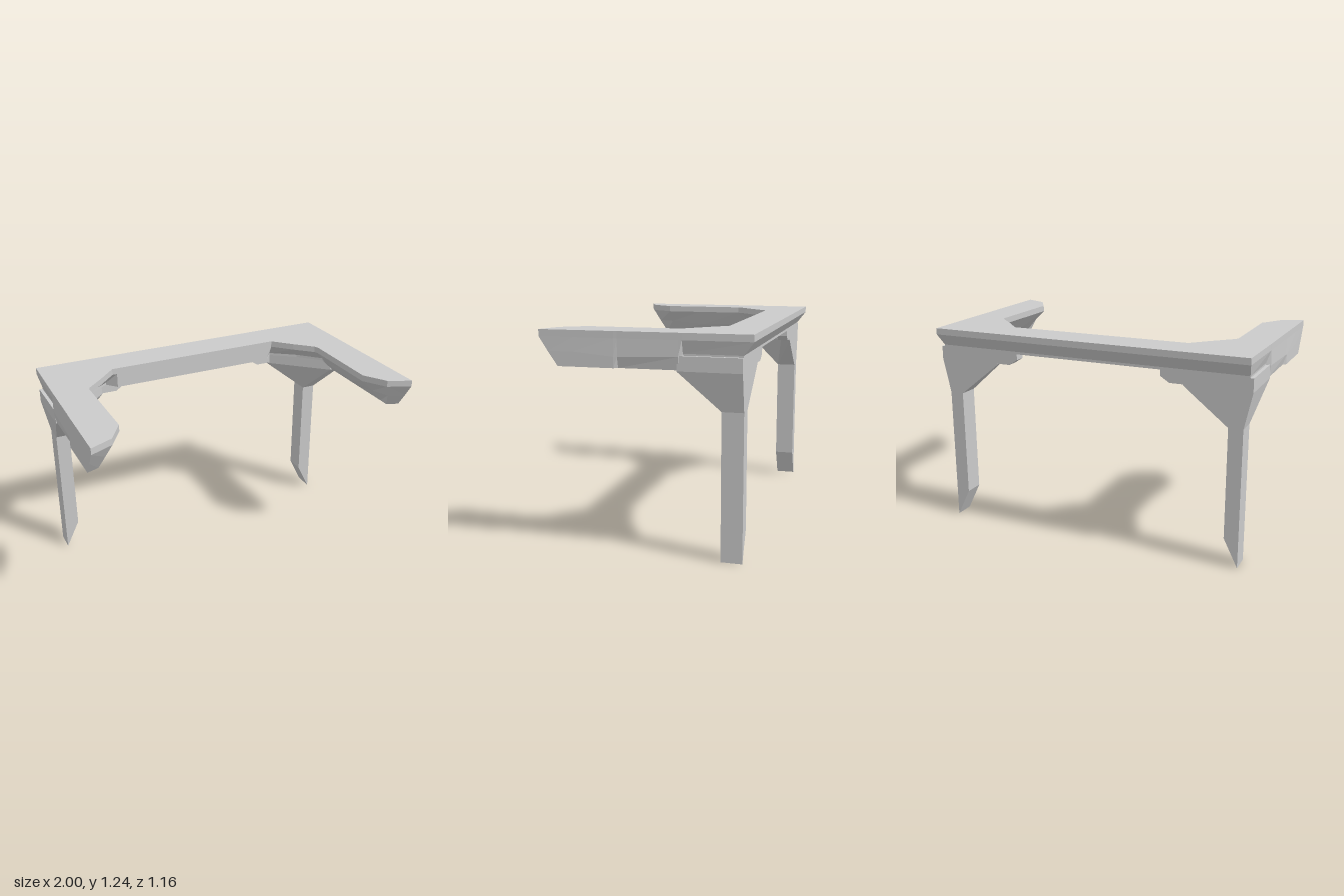
import * as THREE from 'three';
import { ConvexGeometry } from 'three/addons/geometries/ConvexGeometry.js';

const TOP = 1.235, RIM = 1.197;
const material = new THREE.MeshStandardMaterial({ color: 0xcccccc, flatShading: true });

function mesh(name, geometry) {
  const m = new THREE.Mesh(geometry, material);
  m.name = name;
  return m;
}

// Convex solid from [x, y, z] corners, mirrored by the sign s
function hull(name, s, corners) {
  return mesh(name, new ConvexGeometry(corners.map(([x, y, z]) => new THREE.Vector3(s * x, y, z))));
}

// Corners of a plan outline [x, z] at one height
const at = (y, plan) => plan.map(([x, z]) => [x, y, z]);

// Cross-section of the frame: rim on both sides, undercut skirt, bottom edge
function section(outer, skirtOut, bottomOut, bottomIn, skirtIn, inner, skirtY, bottomY) {
  const p = ([x, z], y) => [x, y, z];
  return [
    p(outer, TOP), p(outer, RIM), p(skirtOut, skirtY), p(bottomOut, bottomY),
    p(bottomIn, bottomY), p(skirtIn, skirtY), p(inner, RIM), p(inner, TOP),
  ];
}

// Skin of quads over successive cross-sections, closed at both tips
function loft(stations) {
  const pos = [];
  const quad = (a, b, c, d) => pos.push(...a, ...b, ...c, ...a, ...c, ...d);
  for (let i = 0; i < stations.length - 1; i++) {
    const s = stations[i], t = stations[i + 1], n = s.length;
    for (let k = 0; k < n; k++) quad(s[k], t[k], t[(k + 1) % n], s[(k + 1) % n]);
  }
  const first = stations[0], last = stations[stations.length - 1];
  for (let k = 0; k < 3; k++) {
    quad(first[k], first[k + 1], first[6 - k], first[7 - k]);
    quad(last[7 - k], last[6 - k], last[k + 1], last[k]);
  }
  const g = new THREE.BufferGeometry();
  g.setAttribute('position', new THREE.Float32BufferAttribute(pos, 3));
  g.computeVertexNormals();
  return g;
}

function frameGeometry() {
  const half = [
    // back beam
    section([0.53, -0.585], [0.53, -0.53], [0.53, -0.53], [0.53, -0.365], [0.53, -0.365], [0.53, -0.365], 1.125, 1.11),
    section([0.56, -0.585], [0.56, -0.53], [0.56, -0.53], [0.585, -0.43], [0.585, -0.43], [0.56, -0.365], 1.125, 1.11),
    // corner
    section([0.98, -0.585], [0.965, -0.53], [0.965, -0.53], [0.735, -0.32], [0.735, -0.32], [0.665, -0.255], 1.125, 1.11),
    section([0.988, -0.21], [0.965, -0.21], [0.965, -0.21], [0.86, -0.19], [0.86, -0.19], [0.77, -0.155], 1.125, 1.11),
    // arm, recessed along the rear part of its lower edge
    section([0.988, -0.19], [0.99, -0.19], [0.98, -0.19], [0.93, -0.17], [0.86, -0.16], [0.78, -0.13], 1.11, 1.04),
    section([0.993, 0.14], [0.995, 0.14], [0.98, 0.14], [0.93, 0.14], [0.86, 0.14], [0.78, 0.14], 1.1, 1.04),
    section([0.994, 0.16], [0.998, 0.16], [0.998, 0.16], [0.93, 0.16], [0.86, 0.16], [0.78, 0.16], 1.1, 1.04),
    section([0.997, 0.385], [0.999, 0.385], [0.999, 0.385], [0.93, 0.385], [0.86, 0.385], [0.78, 0.385], 1.12, 1.04),
    // undercut tip
    section([1, 0.58], [1, 0.53], [1, 0.475], [0.93, 0.45], [0.9, 0.49], [0.865, 0.52], 1.12, 1.04),
  ];
  const mirrored = half.map(s => s.map(([x, y, z]) => [-x, y, z])).reverse();
  return loft([...mirrored, ...half]);
}

export function createModel() {
  const model = new THREE.Group();
  model.name = 'frameOnLegs';
  model.add(mesh('topFrame', frameGeometry()));

  const legPlan = [[0.855, -0.53], [0.94, -0.53], [0.94, -0.41], [0.855, -0.41]];
  const platePlan = [[0.985, -0.53], [0.59, -0.53], [0.6, -0.47], [0.92, -0.18], [0.985, -0.18]];

  for (const [side, s] of [['left', 1], ['right', -1]]) {
    // leg with a slanted foot
    model.add(hull(side + 'Leg', s, [
      ...at(0.83, legPlan),
      ...at(0.17, [legPlan[0], legPlan[3]]),
      ...at(0, [legPlan[1], legPlan[2]]),
    ]));
    // bracket flaring from the leg to the corner
    model.add(hull(side + 'Bracket', s, [...at(0.825, legPlan), ...at(1.035, platePlan)]));
    // corner plate and its chamfered tongue under the beam
    model.add(hull(side + 'CornerPlate', s, [...at(1.035, platePlan), ...at(1.115, platePlan)]));
    const tongue = [[0.62, 1.04], [0.51, 1.04], [0.455, 1.075], [0.455, 1.112], [0.62, 1.112]];
    model.add(hull(side + 'Tongue', s,
      [-0.53, -0.465].flatMap(z => tongue.map(([x, y]) => [x, y, z]))));
  }
  return model;
}
